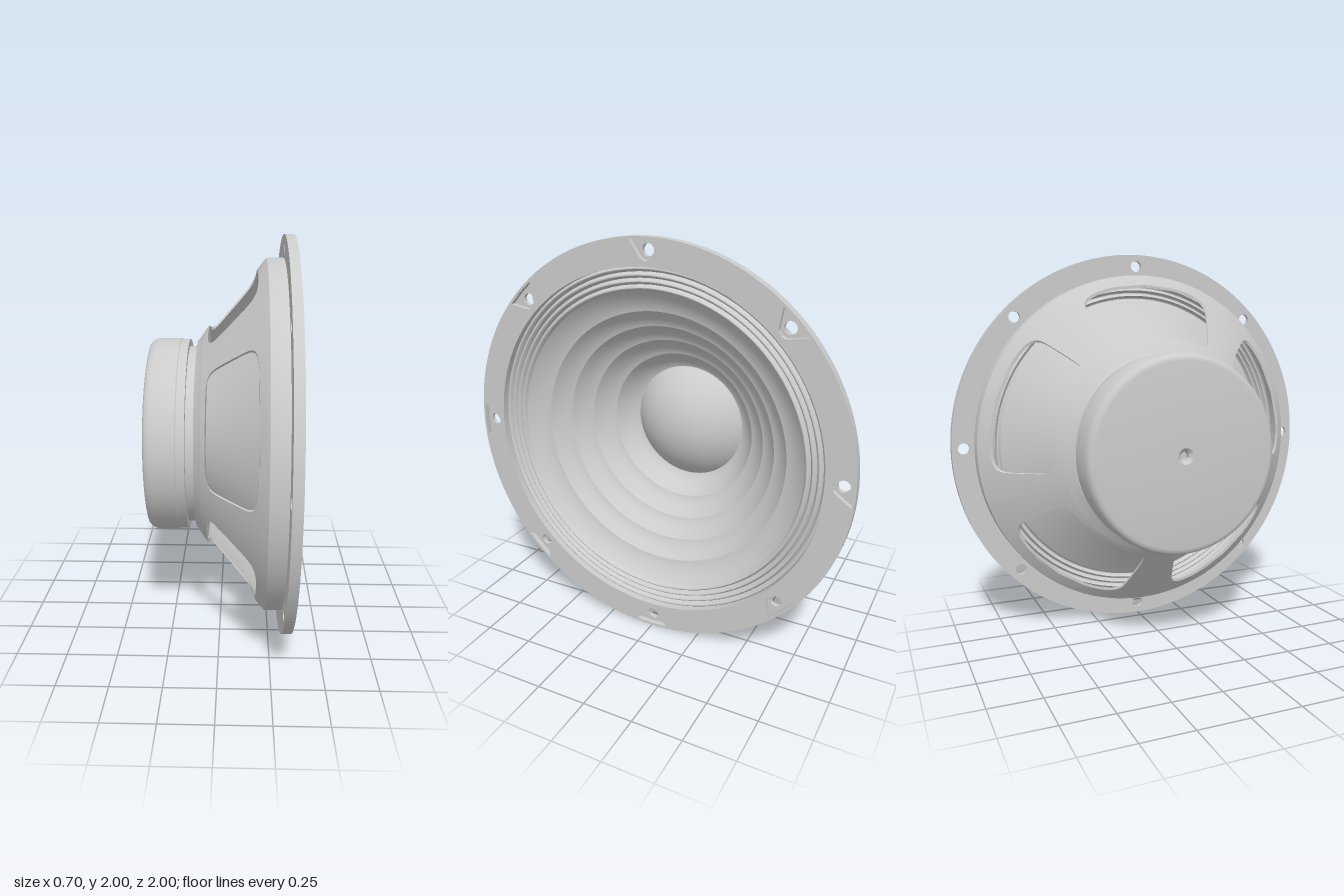
import * as THREE from 'three';
import { toCreasedNormals } from 'three/addons/utils/BufferGeometryUtils.js';

const solid = new THREE.MeshStandardMaterial({ color: 0xcccccc });
const thin = new THREE.MeshStandardMaterial({ color: 0xcccccc, side: THREE.DoubleSide });

export function createModel() {
  const root = new THREE.Group();
  root.name = 'loudspeaker';
  root.position.y = 1;

  const add = (name, geometry, material = solid) => {
    const mesh = new THREE.Mesh(geometry, material);
    mesh.name = name;
    root.add(mesh);
    return mesh;
  };
  // Profile of [radius, x] pairs turned about the x axis
  const turned = (name, profile, material = solid, crease = 0.55) => {
    const g = new THREE.LatheGeometry(profile.map(([r, x]) => new THREE.Vector2(r, x)), 96);
    g.rotateZ(-Math.PI / 2);
    return add(name, toCreasedNormals(g, crease), material);
  };

  // Magnet with a vent in the back, and the neck joining it to the basket
  turned('magnet', [
    [0, -0.3], [0.022, -0.3], [0.022, -0.335], [0.04, -0.35], [0.455, -0.35], [0.47, -0.347],
    [0.48, -0.338], [0.486, -0.325], [0.491, -0.31], [0.491, -0.2], [0.486, -0.195],
    [0.486, -0.155], [0.45, -0.155], [0.45, -0.1], [0, -0.1],
  ]);

  // Rear ring of the basket
  turned('basketRearRing', [
    [0.36, -0.115], [0.48, -0.115], [0.488, -0.108], [0.535, -0.075],
    [0.535, -0.062], [0.36, -0.062], [0.36, -0.115],
  ]);

  // Straight wall of the basket under the flange
  turned('basketWall', [
    [0.867, 0.22], [0.885, 0.22], [0.887, 0.225], [0.887, 0.306], [0.867, 0.306], [0.867, 0.22],
  ]);

  // Five conical basket panels, each pierced by a rounded window
  const panel = basketPanel();
  for (let i = 0; i < 5; i++) {
    add('basketPanel', panel).rotation.x = (i * Math.PI * 2) / 5;
  }

  // Mounting flange: drilled back layer, front layer with tapered bolt recesses
  add('flangeBack', flangeLayer(0.304, 0.021, (angle) => {
    const hole = new THREE.Path();
    hole.absarc(0.94 * Math.cos(angle), 0.94 * Math.sin(angle), 0.029, 0, Math.PI * 2, true);
    return hole;
  }));
  add('flangeFront', flangeLayer(0.325, 0.025, (angle) => {
    const c = Math.cos(angle), s = Math.sin(angle);
    const outline = [
      [0.984, -0.083], [0.988, 0], [0.984, 0.083], [0.915, 0.036], [0.9, 0.022],
      [0.893, 0], [0.9, -0.022], [0.915, -0.036],
    ];
    return new THREE.Path(outline.map(([r, t]) => new THREE.Vector2(r * c - t * s, r * s + t * c)));
  }));

  // Corrugated surround
  const surround = [];
  for (let i = 0; i <= 48; i++) {
    const t = i / 48;
    surround.push([0.755 + 0.117 * t, 0.295 + 0.01 * t + 0.02 * Math.abs(Math.sin(t * Math.PI * 4))]);
  }
  turned('surround', surround, thin);

  // Cone front made of concave bands meeting in sharp ridges
  const ridges = [[0.3, -0.1], [0.39, 0], [0.48, 0.085], [0.565, 0.165], [0.65, 0.235], [0.755, 0.295]];
  const cone = [ridges[0]];
  for (let b = 1; b < ridges.length; b++) {
    const [r0, x0] = ridges[b - 1], [r1, x1] = ridges[b];
    for (let i = 1; i <= 10; i++) {
      const t = i / 10;
      cone.push([r0 + (r1 - r0) * t, x0 + (x1 - x0) * (0.35 * t + 0.65 * t * t)]);
    }
  }
  turned('coneFront', cone, thin, 0.35);

  // Smooth cone back, seen through the windows
  turned('coneBack', [[0.31, -0.105], [0.35, -0.066], [0.6, 0.175], [0.757, 0.293]], thin);

  // Domed dust cap, a spherical segment
  const dome = [], sphere = 0.378, span = Math.asin(0.302 / sphere);
  for (let i = 0; i <= 14; i++) {
    const a = span * (1 - i / 14);
    dome.push([sphere * Math.sin(a), -0.105 + sphere * (Math.cos(a) - Math.cos(span))]);
  }
  turned('dustCap', dome, thin);

  return root;
}

// Annular plate with eight openings, facing +x
function flangeLayer(x, thickness, opening) {
  const shape = new THREE.Shape();
  shape.absarc(0, 0, 1, 0, Math.PI * 2, false);
  const bore = new THREE.Path();
  bore.absarc(0, 0, 0.868, 0, Math.PI * 2, true);
  shape.holes.push(bore);
  for (let i = 0; i < 8; i++) shape.holes.push(opening((i * Math.PI) / 4));
  const g = new THREE.ExtrudeGeometry(shape, { depth: thickness, bevelEnabled: false, curveSegments: 64 });
  g.rotateY(Math.PI / 2);
  g.translate(x, 0, 0);
  return toCreasedNormals(g, 0.5);
}

// A fifth of the conical basket: a skin running from the panel edge to the
// window edge, through the thickness, and back along the inside
function basketPanel() {
  const around = 96, steps = 5, wall = 0.015;
  const half = Math.PI / 5;
  const pow = (v) => Math.sign(v) * Math.abs(v) ** 0.3;
  const positions = [], index = [];
  const columns = 2 * (steps + 1);
  for (let i = 0; i <= around; i++) {
    const a = (i / around) * Math.PI * 2;
    const c = Math.cos(a), s = Math.sin(a), m = Math.max(Math.abs(c), Math.abs(s));
    const edge = [half * c / m, 0.07 + 0.15 * s / m];
    const wx = 0.06 + 0.118 * pow(s);
    const window = [(0.465 - 0.2 * (wx - 0.06)) * pow(c), wx];
    for (let j = 0; j < columns; j++) {
      const inside = j > steps;
      const t = (inside ? columns - 1 - j : j) / steps;
      const theta = edge[0] + (window[0] - edge[0]) * t;
      const x = edge[1] + (window[1] - edge[1]) * t;
      const r = 0.53 + ((x + 0.08) / 0.3) * 0.355 - (inside ? wall : 0);
      positions.push(x, r * Math.cos(theta), r * Math.sin(theta));
    }
  }
  for (let i = 0; i < around; i++) {
    for (let j = 0; j < columns - 1; j++) {
      const p = i * columns + j, q = p + columns;
      index.push(p, q, p + 1, q, q + 1, p + 1);
    }
  }
  const g = new THREE.BufferGeometry();
  g.setAttribute('position', new THREE.Float32BufferAttribute(positions, 3));
  g.setIndex(index);
  return toCreasedNormals(g, 0.6);
}
